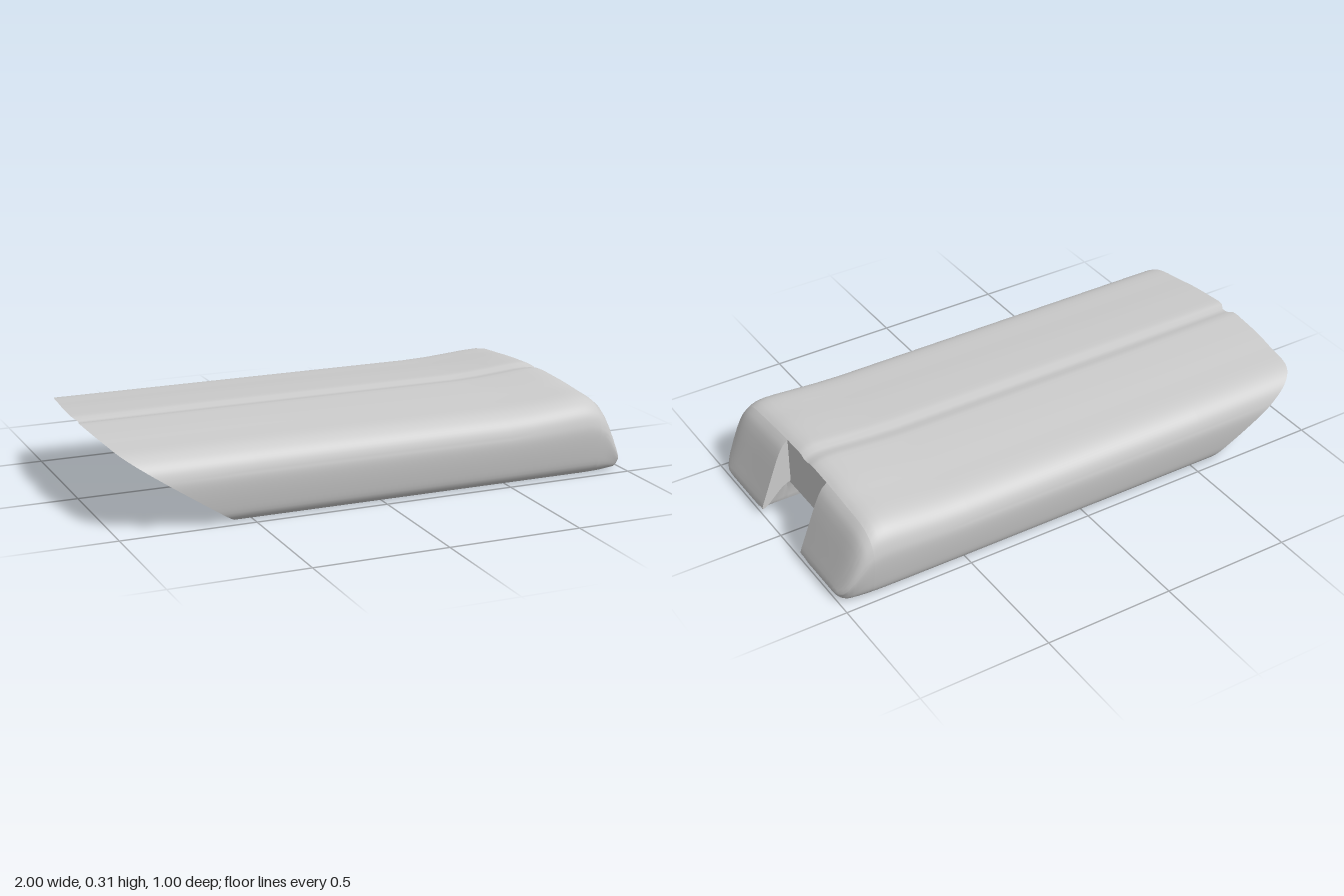
import * as THREE from 'three';
import { toCreasedNormals } from 'three/addons/utils/BufferGeometryUtils.js';

const V = (z, y) => new THREE.Vector2(z, y);
const TOP = 0.295;

// Outer side, from the bottom edge up and over to the middle: [z, y]
const sideCurve = new THREE.SplineCurve([
  [0.445, 0], [0.475, 0.025], [0.49, 0.08], [0.5, 0.15], [0.497, 0.19], [0.482, 0.228],
  [0.45, 0.257], [0.4, 0.273], [0.3, 0.281], [0.2, 0.289], [0.06, 0.295],
].map(([z, y]) => V(z, y)));
const side = sideCurve.getPoints(40);
const mirror = (pts) => pts.map((p) => V(-p.x, p.y)).reverse();

// Walls of the underside channel, from the bottom up
const wallLeft = [V(0.185, 0), V(0.178, 0.02), V(0.174, 0.08), V(0.16, 0.1)];
const wallRight = [V(-0.205, 0), V(-0.2, 0.06), V(-0.19, 0.09), V(-0.17, 0.1)];
const groove = [V(0.035, 0.294), V(0.012, 0.286), V(-0.012, 0.286), V(-0.035, 0.294)];

// Stations of the sloped, rounded nose: x, height, half-width factor, bottom lift
const nose = [
  [-0.5, 0.295, 1, 0], [0.5, 0.295, 1, 0], [0.6, 0.299, 1, 0], [0.7, 0.307, 1, 0],
  [0.77, 0.313, 1, 0], [0.82, 0.315, 0.999, 0], [0.85, 0.311, 0.997, 0],
  [0.87, 0.303, 0.994, 0], [0.88, 0.297, 0.992, 0], [0.9, 0.279, 0.987, 0],
  [0.915, 0.255, 0.98, 0], [0.93, 0.222, 0.972, 0], [0.95, 0.17, 0.957, 0],
  [0.97, 0.117, 0.935, 0], [0.985, 0.078, 0.905, 0.005], [0.995, 0.052, 0.87, 0.013],
  [1, 0.036, 0.84, 0.024],
];

// Section point placed at a station
function place(p, [x, h, w, lift]) {
  const k = THREE.MathUtils.smoothstep(Math.abs(p.x), 0.2, 0.5);
  return [x, lift + p.y * (h - lift) / TOP, p.x * (1 - (1 - w) * k)];
}

// Skin a closed section through rings of points, with flat end caps
function loft(section, rings, capStart, capEnd) {
  const pos = [];
  const n = section.length;
  for (let i = 0; i + 1 < rings.length; i++) {
    for (let j = 0; j < n; j++) {
      const k = (j + 1) % n;
      const a = rings[i][j], b = rings[i + 1][j], c = rings[i + 1][k], d = rings[i][k];
      pos.push(...a, ...b, ...c, ...a, ...c, ...d);
    }
  }
  const last = rings[rings.length - 1];
  for (const [a, b, c] of THREE.ShapeUtils.triangulateShape(section, [])) {
    if (capStart) pos.push(...rings[0][a], ...rings[0][b], ...rings[0][c]);
    if (capEnd) pos.push(...last[a], ...last[c], ...last[b]);
  }
  const geo = new THREE.BufferGeometry();
  geo.setAttribute('position', new THREE.Float32BufferAttribute(pos, 3));
  return toCreasedNormals(geo, 0.6);
}

export function createModel() {
  const group = new THREE.Group();
  const material = new THREE.MeshStandardMaterial({ color: 0xcccccc });
  const add = (name, geo) => {
    const mesh = new THREE.Mesh(geo, material);
    mesh.name = name;
    group.add(mesh);
  };

  // Main body: slanted cut at one end, notch back wall at the other
  const body = [...side, ...groove, ...mirror(side), ...wallRight, ...[...wallLeft].reverse().slice(0, 3), wallLeft[0]];
  const slant = body.map((p) => [-0.565 - p.y * 1.475, p.y, p.x]);
  const bodyRings = [slant, ...nose.slice(0, 9).map((s) => body.map((p) => place(p, s)))];
  add('body', loft(body, bodyRings, true, true));

  // Two prongs beside the notch
  const upper = (limit) => [...side.filter((p) => p.x > limit + 0.005), V(limit, 0.292)];
  const prongLeft = [wallLeft[0], ...upper(0.14), V(0.14, 0.11), V(0.16, 0.105), wallLeft[2], wallLeft[1]];
  const prongRight = [...mirror(upper(0.16)), ...wallRight.slice(0, 3), V(-0.175, 0.105), V(-0.16, 0.11)];
  for (const [name, sec] of [['leftProng', prongLeft], ['rightProng', prongRight]]) {
    add(name, loft(sec, nose.slice(8).map((s) => sec.map((p) => place(p, s))), false, true));
  }
  return group;
}
